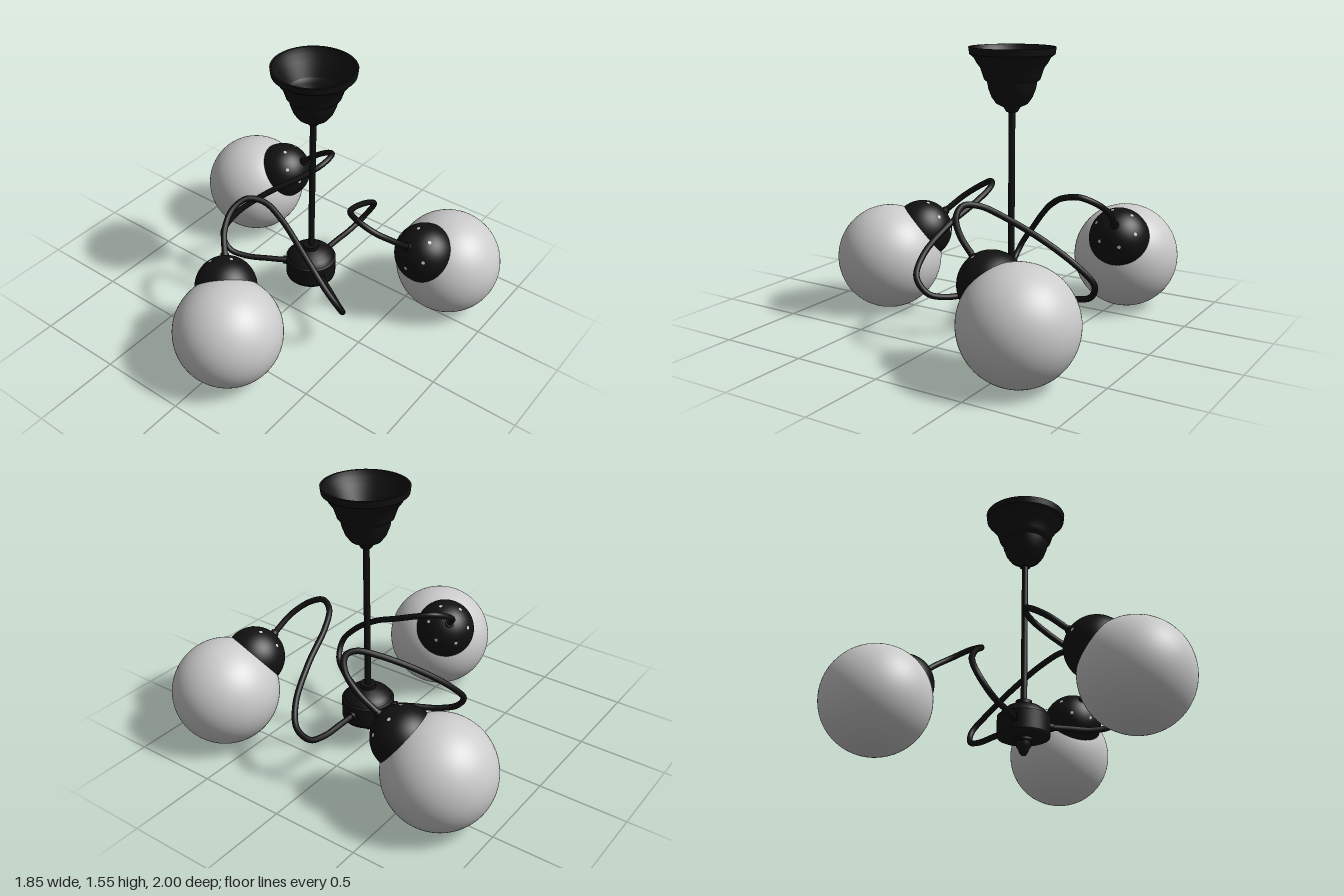
import * as THREE from 'three';

const black = new THREE.MeshStandardMaterial({ color: 0x111111, side: THREE.DoubleSide });
const grey = new THREE.MeshStandardMaterial({ color: 0xcccccc, side: THREE.DoubleSide });

function add(parent, name, geometry, material = black) {
  const mesh = new THREE.Mesh(geometry, material);
  mesh.name = name;
  parent.add(mesh);
  return mesh;
}

// Each profile section is lathed on its own, so edges between sections stay sharp
function turned(parent, name, sections) {
  const group = new THREE.Group();
  group.name = name;
  for (const s of sections) {
    add(group, name + 'Section', new THREE.LatheGeometry(s.map(([r, y]) => new THREE.Vector2(r, y)), 48));
  }
  parent.add(group);
}

function createArm() {
  const arm = new THREE.Group();
  arm.name = 'lampArm';

  // Looping tube, from the hub outwards, back across and over to the lamp holder
  const points = [
    [0.12, 0.235, 0], [0.25, 0.235, 0], [0.39, 0.235, 0.005], [0.495, 0.265, 0.02],
    [0.54, 0.35, 0.065], [0.475, 0.45, 0.12], [0.3, 0.58, 0.175], [0.09, 0.69, 0.225],
    [-0.02, 0.745, 0.28], [-0.07, 0.76, 0.365], [-0.055, 0.72, 0.46],
    [0.02, 0.65, 0.535], [0.115, 0.57, 0.57], [0.15, 0.54, 0.585],
  ].map((p) => new THREE.Vector3(...p));
  add(arm, 'curvedTube', new THREE.TubeGeometry(new THREE.CatmullRomCurve3(points), 140, 0.017, 12));

  const collar = add(arm, 'hubCollar', new THREE.CylinderGeometry(0.024, 0.024, 0.03, 24));
  collar.rotation.z = Math.PI / 2;
  collar.position.set(0.15, 0.235, 0);

  // Globe and bell-shaped cap share a tilted axis
  const lamp = new THREE.Group();
  lamp.name = 'lamp';
  lamp.position.set(0.44, 0.304, 0.674);
  const axis = new THREE.Vector3(-0.325, 0.265, -0.104).normalize();
  lamp.quaternion.setFromUnitVectors(new THREE.Vector3(0, 1, 0), axis);
  arm.add(lamp);
  add(lamp, 'globe', new THREE.SphereGeometry(0.302, 64, 48, 0, Math.PI * 2, 0.3, Math.PI - 0.3), grey);

  const R = 0.172, rimY = 0.247;
  const cap = add(lamp, 'lampCap', new THREE.SphereGeometry(R, 48, 20, 0, Math.PI * 2, 0, Math.PI / 2));
  cap.position.y = rimY;
  const nut = add(lamp, 'capNut', new THREE.CylinderGeometry(0.022, 0.026, 0.02, 24));
  nut.position.y = rimY + R + 0.004;

  // Ring of small vents near the top of the cap
  for (let i = 0; i < 6; i++) {
    const a = (i * Math.PI) / 3, t = 0.75;
    const n = new THREE.Vector3(Math.sin(t) * Math.cos(a), Math.cos(t), Math.sin(t) * Math.sin(a));
    const vent = add(lamp, 'vent', new THREE.CircleGeometry(0.01, 16), grey);
    vent.position.copy(n).multiplyScalar(R + 0.001);
    vent.position.y += rimY;
    vent.quaternion.setFromUnitVectors(new THREE.Vector3(0, 0, 1), n);
  }
  return arm;
}

export function createModel() {
  const model = new THREE.Group();
  model.name = 'pendantLamp';
  const body = new THREE.Group();
  body.name = 'lampBody';
  body.position.set(0.18, 0, 0.018);
  model.add(body);

  // Ceiling canopy, an open stepped cup
  turned(body, 'ceilingCanopy', [
    [[0, 1.21], [0.03, 1.21]],
    [[0.03, 1.21], [0.045, 1.235], [0.085, 1.255], [0.11, 1.29], [0.127, 1.335], [0.133, 1.37]],
    [[0.133, 1.37], [0.15, 1.385], [0.158, 1.41]],
    [[0.158, 1.41], [0.17, 1.445], [0.192, 1.475], [0.205, 1.5]],
    [[0.205, 1.5], [0.228, 1.518]],
    [[0.228, 1.518], [0.233, 1.555]],
    [[0.233, 1.555], [0.222, 1.555]],
    [[0.222, 1.555], [0.21, 1.52], [0.185, 1.485], [0.145, 1.41]],
    [[0.145, 1.41], [0.125, 1.385], [0.1, 1.3], [0.05, 1.25], [0, 1.24]],
  ]);

  const rod = add(body, 'centreRod', new THREE.CylinderGeometry(0.018, 0.018, 0.87, 24));
  rod.position.y = 0.79;

  // Hub with domed top
  turned(body, 'hub', [
    [[0, 0.158], [0.13, 0.158]],
    [[0.13, 0.158], [0.143, 0.164], [0.147, 0.178]],
    [[0.147, 0.178], [0.147, 0.285]],
    [[0.147, 0.285], [0.135, 0.29]],
    [[0.135, 0.29], [0.12, 0.316], [0.09, 0.338], [0.045, 0.352]],
    [[0.045, 0.352], [0.045, 0.376]],
    [[0.045, 0.376], [0, 0.376]],
  ]);
  // Pointed finial below the hub
  turned(body, 'finial', [
    [[0.055, 0.16], [0.055, 0.145]],
    [[0.055, 0.145], [0.042, 0.14]],
    [[0.042, 0.14], [0.04, 0.115], [0.03, 0.1]],
    [[0.03, 0.1], [0.024, 0.082], [0.014, 0.068], [0, 0.063]],
  ]);

  for (let i = 0; i < 3; i++) {
    const arm = createArm();
    arm.rotation.y = (-i * Math.PI * 2) / 3;
    body.add(arm);
  }
  return model;
}
